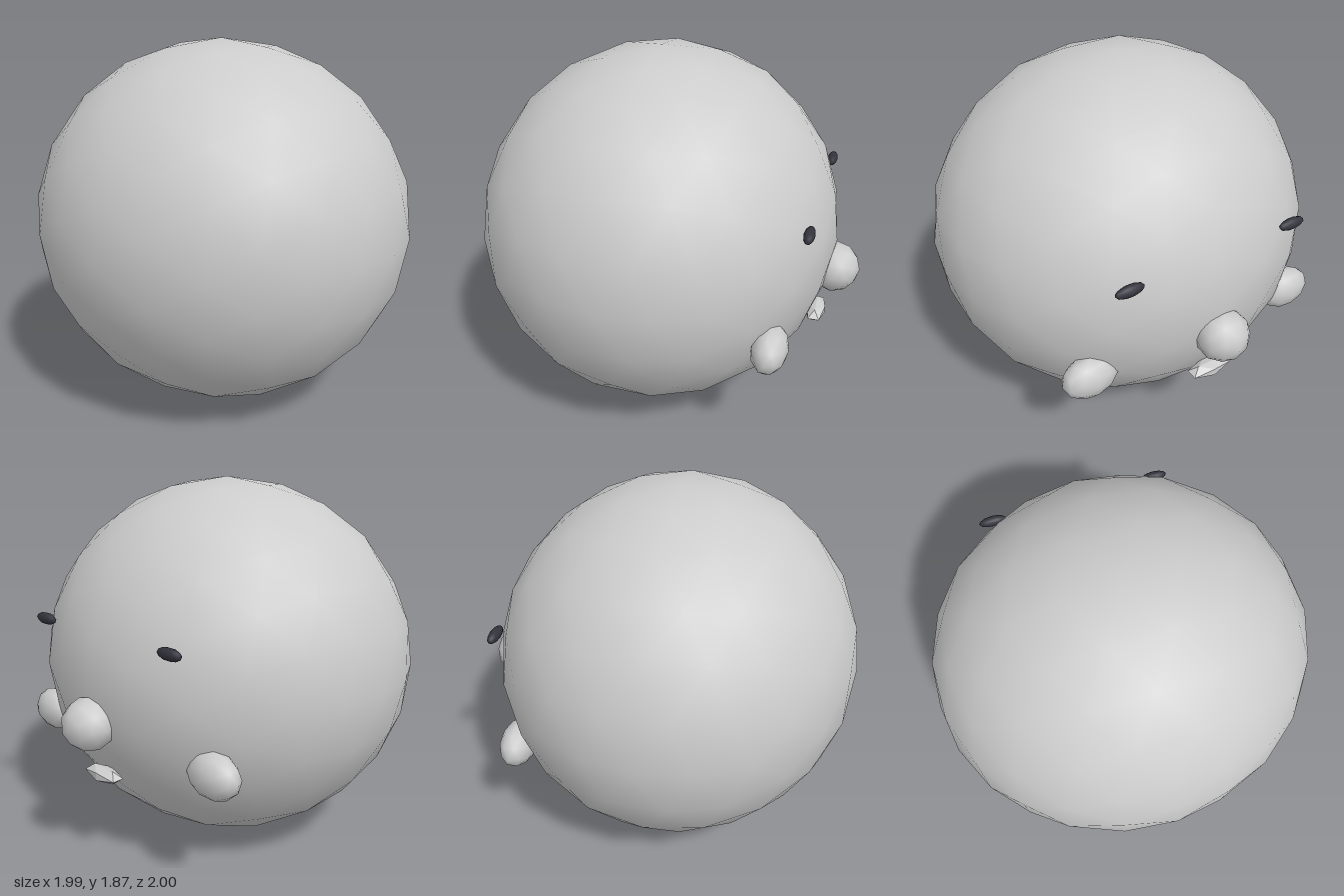
import * as THREE from 'three';

const grey = new THREE.MeshStandardMaterial({ color: 0xcccccc });
grey.name = 'light grey';
const dark = new THREE.MeshStandardMaterial({ color: 0x33333d });
dark.name = 'dark slate';

// Icosphere: each level splits every triangle in four and rounds it out
function icosphere(levels) {
  let geo = new THREE.IcosahedronGeometry(1, 0);
  for (let i = 0; i < levels; i++) {
    const points = Array.from(geo.attributes.position.array);
    const index = Array.from({ length: points.length / 3 }, (_, k) => k);
    geo = new THREE.PolyhedronGeometry(points, index, 1, 1);
  }
  return geo;
}

// Stretched icosphere, with the stretch baked into the geometry
function blob(name, levels, material, size, position) {
  const geo = icosphere(levels);
  geo.scale(...size);
  const mesh = new THREE.Mesh(geo, material);
  mesh.name = name;
  mesh.position.set(...position);
  return mesh;
}

export function createModel() {
  const model = new THREE.Group();
  model.name = 'roundCreature';

  // Round body
  model.add(blob('body', 2, grey, [0.995, 0.935, 0.935], [0, 0.935, 0.065]));

  // Face on the back side: nose and faceted mouth
  model.add(blob('nose', 1, grey, [0.135, 0.13, 0.13], [0, 0.78, -0.87]));
  model.add(blob('mouth', 0, grey, [0.13, 0.039, 0.056], [0, 0.5, -0.8]));

  // Mirrored cheeks and narrow eyes
  for (const [side, s] of [['left', 1], ['right', -1]]) {
    model.add(blob(side + 'Cheek', 1, grey, [0.148, 0.113, 0.09], [0.597 * s, 0.64, -0.65]));
    model.add(blob(side + 'Eye', 1, dark, [0.075, 0.03, 0.027], [0.455 * s, 1.19, -0.77]));
  }
  return model;
}
